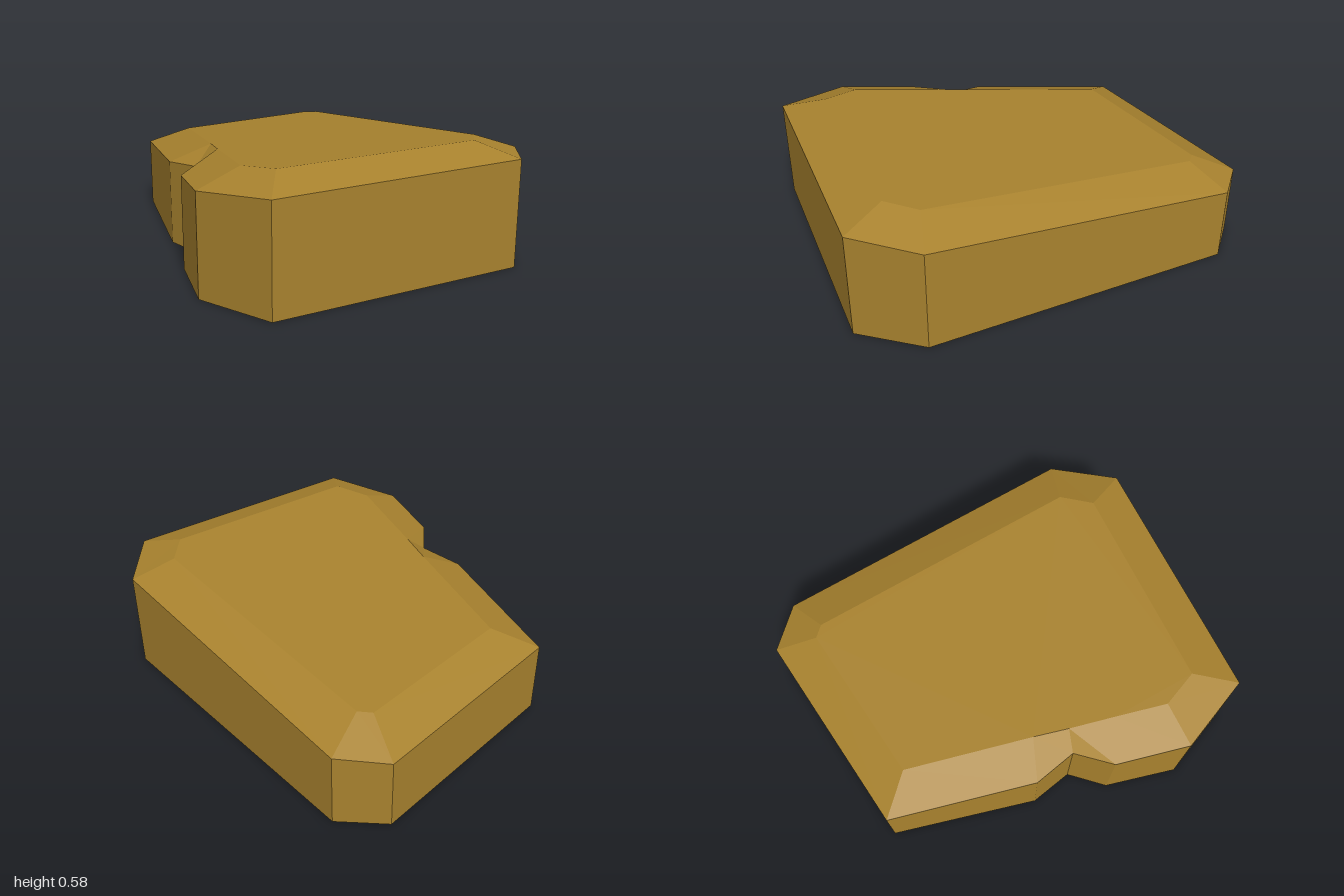
import * as THREE from 'three';

// Each corner: rim x, z, then the inset corner x, z of the upper plateau
const corners = [
  [0.65, -1.0, 0.57, -0.79],
  [0.83, -0.82, 0.62, -0.74],
  [0.83, 0.73, 0.62, 0.66],
  [0.60, 1.0, 0.50, 0.79],
  [-0.68, 0.93, -0.54, 0.73],
  [-0.83, 0.56, -0.61, 0.55],
  [-0.73, 0.20, -0.54, 0.30],
  [-0.58, 0.05, -0.48, 0.08],
  [-0.62, -0.17, -0.43, -0.09],
  [-0.42, -0.89, -0.26, -0.71],
];

// Rim and plateau both slope down towards the back
const rimY = (z) => 0.4375 + 0.0875 * z;
const plateauY = (z) => 0.515 + 0.0886 * z;

function flatGeometry(points) {
  const geometry = new THREE.BufferGeometry().setFromPoints(points);
  geometry.computeVertexNormals();
  return geometry;
}

// Band of quads joining a lower ring to an upper ring
function band(lower, upper) {
  const points = [];
  lower.forEach((a, i) => {
    const j = (i + 1) % lower.length;
    points.push(a, upper[i], upper[j], a, upper[j], lower[j]);
  });
  return flatGeometry(points);
}

// Filled ring facing up (+1) or down (-1)
function cap(ring, facing) {
  const outline = ring.map((p) => new THREE.Vector2(p.x, p.z));
  const points = [];
  for (const [i, j, k] of THREE.ShapeUtils.triangulateShape(outline, [])) {
    const [a, b, c] = [ring[i], ring[j], ring[k]];
    const up = b.clone().sub(a).cross(c.clone().sub(a)).y;
    points.push(...(up * facing > 0 ? [a, b, c] : [a, c, b]));
  }
  return flatGeometry(points);
}

export function createModel() {
  const group = new THREE.Group();
  group.name = 'rockSlab';
  const ochre = new THREE.MeshStandardMaterial({ color: 0xa8822e, flatShading: true });
  ochre.name = 'ochre stone';

  const base = corners.map(([x, z]) => new THREE.Vector3(x, 0, z));
  const rim = corners.map(([x, z]) => new THREE.Vector3(x, rimY(z), z));
  const plateau = corners.map(([, , x, z]) => new THREE.Vector3(x, plateauY(z), z));

  const parts = {
    walls: band(base, rim),
    bevel: band(rim, plateau),
    plateau: cap(plateau, 1),
    underside: cap(base, -1),
  };
  for (const [name, geometry] of Object.entries(parts)) {
    const mesh = new THREE.Mesh(geometry, ochre);
    mesh.name = name;
    group.add(mesh);
  }
  return group;
}
